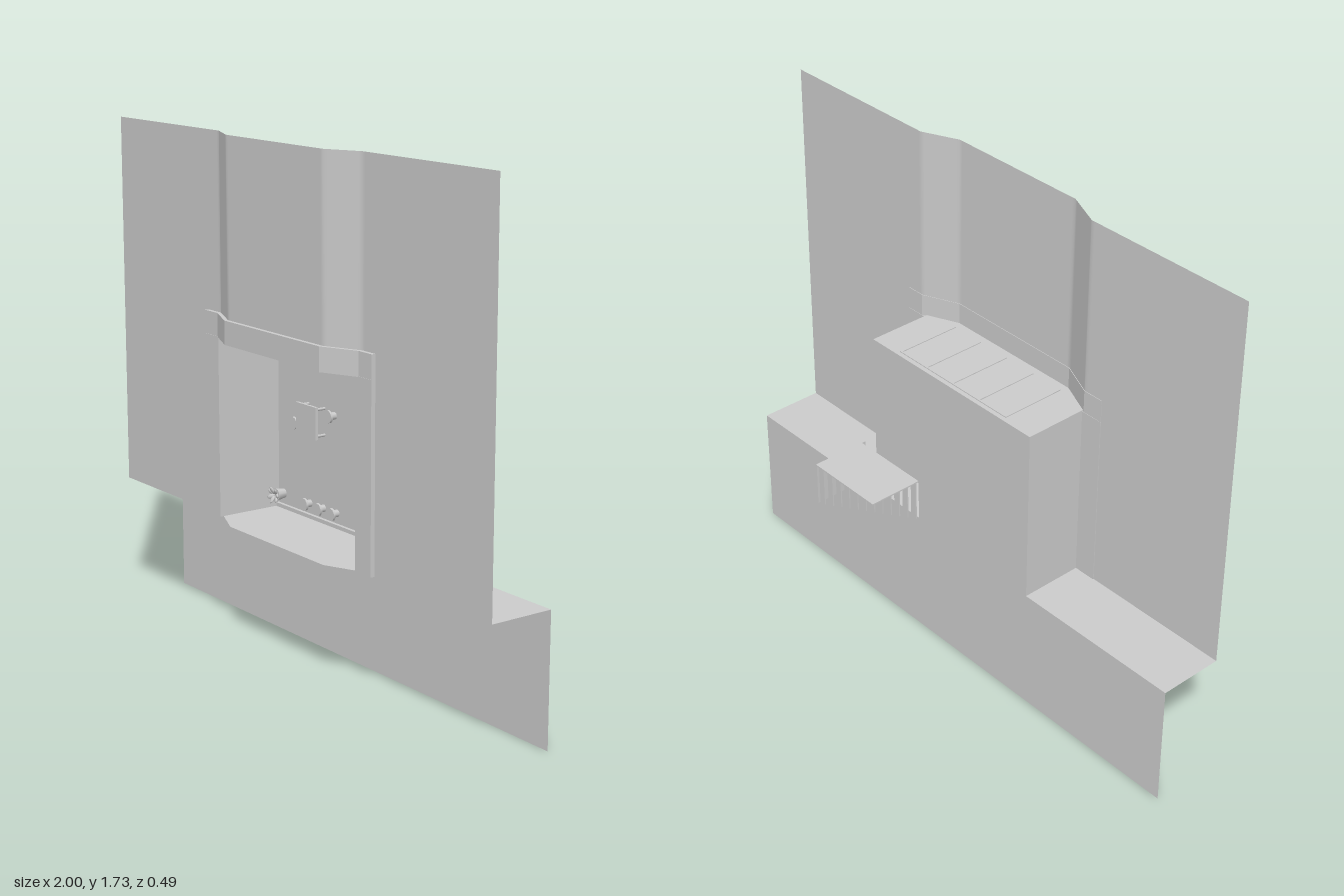
import * as THREE from 'three';

const plaster = new THREE.MeshStandardMaterial({ color: 0xcccccc, side: THREE.DoubleSide });
plaster.name = 'plaster grey';

const LEDGE = 0.44, HEAD = 1.055, BACK = -0.05, L = -0.38, R = 0.37;

// Plan line of the bowed wall: flat, ramping out to a shallow bay, flat again
const wallZ = (x) => 0.175 + 0.055 * THREE.MathUtils.clamp((0.385 - Math.abs(x)) / 0.125, 0, 1);
const BENDS = [-0.385, -0.26, 0.26, 0.385];

function add(parent, name, geometry, x = 0, y = 0, z = 0) {
  const mesh = new THREE.Mesh(geometry, plaster);
  mesh.name = name;
  mesh.position.set(x, y, z);
  parent.add(mesh);
  return mesh;
}

const box = (parent, name, x0, x1, y0, y1, z0, z1) =>
  add(parent, name, new THREE.BoxGeometry(x1 - x0, y1 - y0, z1 - z0), (x0 + x1) / 2, (y0 + y1) / 2, (z0 + z1) / 2);

// Vertical sheet that follows the plan line
function wallSheet(parent, name, x0, x1, y0, y1) {
  const xs = [x0, x1];
  for (const b of BENDS) for (const d of [-0.03, -0.012, 0, 0.012, 0.03]) if (b + d > x0 && b + d < x1) xs.push(b + d);
  xs.sort((a, b) => a - b);
  const pos = [], index = [];
  xs.forEach((x, i) => {
    pos.push(x, y0, wallZ(x), x, y1, wallZ(x));
    if (i) { const a = 2 * i - 2; index.push(a, a + 2, a + 1, a + 1, a + 2, a + 3); }
  });
  const g = new THREE.BufferGeometry();
  g.setAttribute('position', new THREE.Float32BufferAttribute(pos, 3));
  g.setIndex(index);
  g.computeVertexNormals();
  add(parent, name, g);
}

// Flat plan outline between two z rules, laid horizontally
function planShape(x0, x1, front, back) {
  const xs = [x0, ...BENDS.filter((b) => b > x0 && b < x1), x1];
  return new THREE.Shape([
    ...xs.map((x) => new THREE.Vector2(x, -front(x))),
    ...xs.reverse().map((x) => new THREE.Vector2(x, -back(x))),
  ]);
}

const rect = (x0, y0, x1, y1) => [[x0, y0], [x1, y0], [x1, y1], [x0, y1]].map(([x, y]) => new THREE.Vector2(x, y));

// Cylinder whose axis runs along z
function disc(parent, name, x, y, z0, depth, r, sides, r2 = r) {
  add(parent, name, new THREE.CylinderGeometry(r2, r, depth, sides).rotateX(Math.PI / 2), x, y, z0 + depth / 2);
}

function plant(parent, x, y) {
  const g = new THREE.Group();
  g.name = 'plant';
  g.position.set(x, y, BACK);
  disc(g, 'pot', 0, 0, 0, 0.035, 0.016, 10, 0.022);
  for (let i = 0; i < 7; i++) {
    const a = i * 0.9;
    const leaf = add(g, 'leaf', new THREE.SphereGeometry(0.016, 8, 5).scale(1, 0.5, 0.3),
      Math.cos(a) * 0.016, Math.sin(a) * 0.016, 0.04 + 0.003 * (i % 3));
    leaf.rotation.set(0, -0.5, a, 'ZYX');
  }
  parent.add(g);
}

export function createModel() {
  const model = new THREE.Group();
  model.name = 'wallNiche';

  // Upper bowed wall around the opening
  wallSheet(model, 'wallRight', -1, L, LEDGE, 1.73);
  wallSheet(model, 'wallLeft', R, 1, LEDGE, 1.73);
  wallSheet(model, 'wallAbove', L, R, HEAD, 1.73);

  // Ledge and the set-back lower wall
  add(model, 'ledge', new THREE.ShapeGeometry(planShape(-1, 1, wallZ, () => BACK)).rotateX(-Math.PI / 2), 0, LEDGE, 0);
  add(model, 'lowerWall', new THREE.PlaneGeometry(2, LEDGE), 0, LEDGE / 2, BACK);

  // Frame round the opening
  const lintel = new THREE.ExtrudeGeometry(planShape(-0.46, 0.45, (x) => wallZ(x) + 0.014, (x) => wallZ(x) - 0.002),
    { depth: 0.08, bevelEnabled: false }).rotateX(-Math.PI / 2);
  add(model, 'lintel', lintel, 0, 1.054, 0);
  box(model, 'jambRight', -0.46, L, LEDGE, 1.056, 0.172, 0.19);
  box(model, 'jambLeft', R, 0.45, LEDGE, 1.056, 0.172, 0.19);

  // Niche shell: sides, roof and back with a stair doorway
  for (const x of [L, R]) {
    add(model, 'nicheSide', new THREE.PlaneGeometry(0.232, 0.62).rotateY(Math.PI / 2), x, 0.75, BACK + 0.116);
  }
  add(model, 'nicheRoof', new THREE.ShapeGeometry(planShape(L, R, wallZ, () => BACK)).rotateX(-Math.PI / 2), 0, 1.06, 0);
  const back = new THREE.Shape(rect(L, LEDGE, R, 1.06));
  back.holes.push(new THREE.Path(rect(0.15, 0.455, 0.365, 0.605)));
  add(model, 'nicheBack', new THREE.ShapeGeometry(back), 0, 0, BACK);
  box(model, 'skirting', L, R, LEDGE, 0.453, BACK, BACK + 0.012);

  // Slender ribs across the roof
  for (let i = 0; i < 5; i++) {
    const x = -0.25 + i * 0.125;
    box(model, 'roofRib', x - 0.004, x + 0.004, 1.06, 1.063, -0.03, 0.2);
  }
  box(model, 'roofRail', -0.254, 0.254, 1.06, 1.063, -0.034, -0.028);

  // Table and stools standing out from the back
  box(model, 'tableTop', -0.215, -0.105, 0.73, 0.84, BACK + 0.035, BACK + 0.045);
  for (const x of [-0.205, -0.115]) for (const y of [0.74, 0.83]) disc(model, 'tableLeg', x, y, BACK, 0.036, 0.005, 6);
  for (const [x, y] of [[-0.255, 0.757], [-0.06, 0.816], [-0.197, 0.489], [-0.12, 0.489], [-0.045, 0.489]]) {
    disc(model, 'stoolSeat', x, y, BACK + 0.022, 0.008, 0.022, 10);
    disc(model, 'stoolStem', x, y, BACK, 0.023, 0.013, 8);
  }

  // Corner plants and paired lamps
  for (const [x, y] of [[-0.35, 1.02], [0.335, 1.02], [-0.35, 0.49]]) plant(model, x, y);
  for (const x of [-0.168, 0.16]) for (const s of [-1, 1]) {
    const lamp = add(model, 'lamp', new THREE.SphereGeometry(0.009, 8, 6).scale(1, 2.2, 1), x + s * 0.011, 0.99, BACK + 0.012);
    lamp.rotation.z = s * -0.15;
  }

  // Stair shaft behind the doorway: cover, end panel, handrails
  box(model, 'shaftCover', 0.15, 0.45, 0.603, 0.608, -0.247, BACK);
  box(model, 'shaftEnd', 0.446, 0.45, 0.45, 0.608, -0.247, -0.035);
  box(model, 'handrailUpper', 0.14, 0.368, 0.6, 0.611, BACK, BACK + 0.025);
  box(model, 'handrailLower', 0.15, 0.368, 0.45, 0.456, BACK, BACK + 0.012);
  for (const y of [0.465, 0.595]) disc(model, 'bracket', 0.456, y, -0.195, 0.025, 0.006, 6);

  // Flight of steps descending away from the doorway
  const steps = 12, run = 0.29 / steps, drop = 0.195 / steps;
  for (let i = 0; i < steps; i++) {
    const x = 0.155 + i * run, z = BACK - i * drop;
    box(model, 'tread', x, x + run, 0.452, 0.603, z - drop * 0.6, z - drop * 0.3);
  }
  return model;
}
